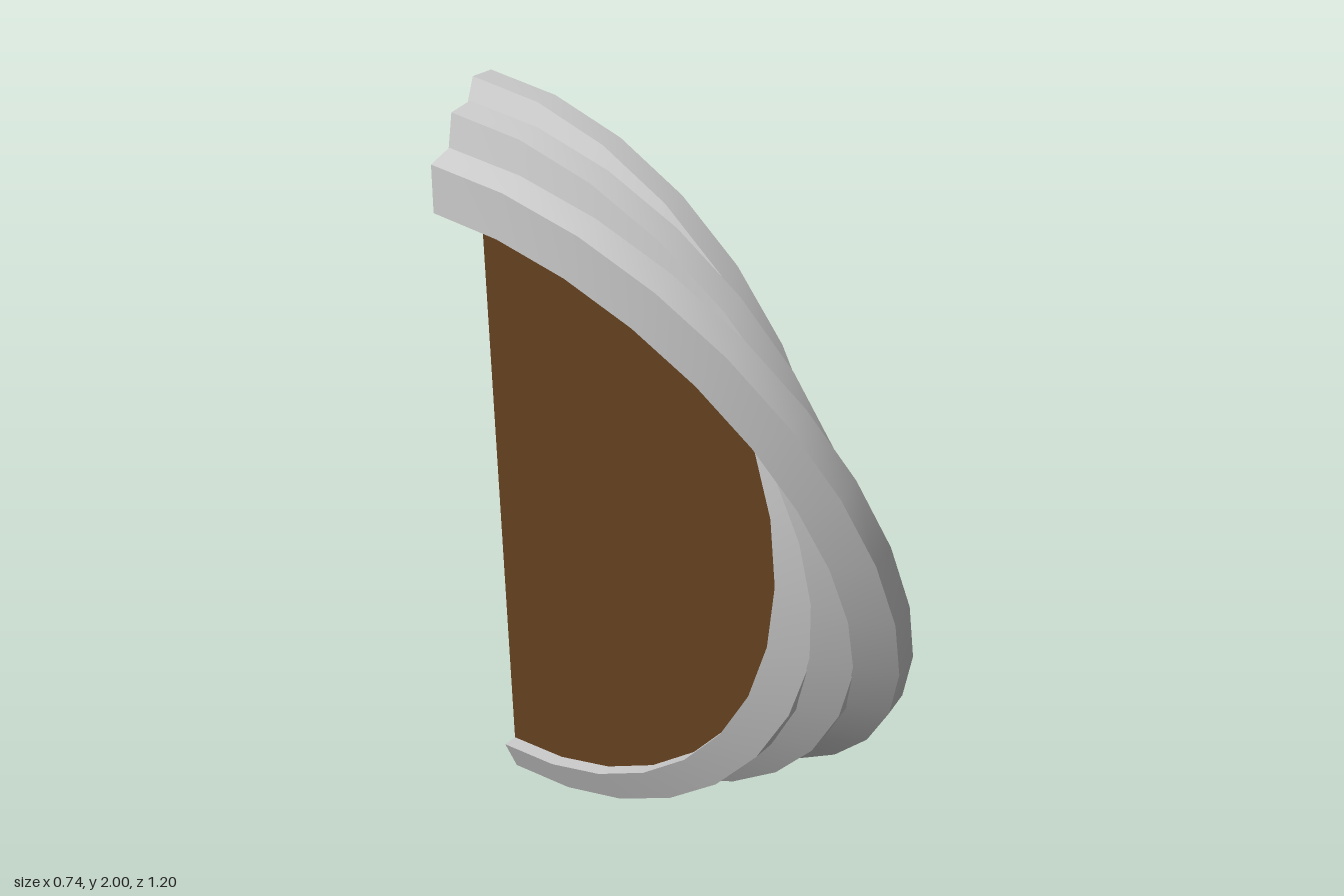
import * as THREE from 'three';
import { toCreasedNormals } from 'three/addons/utils/BufferGeometryUtils.js';

const STEPS = 16;
// Band section as [x, radius]: flat on the left side, bevelled on the right
const SECTION = [[-0.04, 0.9], [0.06, 0.9], [0.06, 1], [0, 1]];

// Half ring swept from top to bottom through the front, closed at both ends
function halfRing() {
  const positions = [], index = [];
  const n = SECTION.length;
  for (let i = 0; i <= STEPS; i++) {
    const a = (Math.PI * i) / STEPS;
    for (const [x, r] of SECTION) positions.push(x, r * Math.cos(a), r * Math.sin(a));
  }
  for (let i = 0; i < STEPS; i++) {
    for (let j = 0; j < n; j++) {
      const k = (j + 1) % n;
      const a = i * n + j, b = i * n + k, c = b + n, d = a + n;
      index.push(a, b, c, a, c, d);
    }
  }
  const e = STEPS * n;
  index.push(0, 2, 1, 0, 3, 2, e, e + 1, e + 2, e, e + 2, e + 3);
  const geometry = new THREE.BufferGeometry();
  geometry.setAttribute('position', new THREE.Float32BufferAttribute(positions, 3));
  geometry.setIndex(index);
  return toCreasedNormals(geometry, 0.5);
}

export function createModel() {
  const model = new THREE.Group();
  model.name = 'fannedArches';
  const grey = new THREE.MeshStandardMaterial({ color: 0xcccccc });
  const brown = new THREE.MeshStandardMaterial({ color: 0x654321, side: THREE.DoubleSide });

  // Three arches, each stepped forward and tilted further than the last
  const ring = halfRing();
  ['innerArch', 'middleArch', 'outerArch'].forEach((name, i) => {
    const arch = new THREE.Mesh(ring, grey);
    arch.name = name;
    arch.position.set(-0.027, 1, -0.6 + i * 0.1);
    arch.rotation.z = THREE.MathUtils.degToRad(10 * i);
    model.add(arch);
  });

  // Thin half disc filling the upright arch
  const disc = new THREE.CircleGeometry(0.9, STEPS, -Math.PI / 2, Math.PI);
  disc.rotateY(-Math.PI / 2);
  const panel = new THREE.Mesh(disc, brown);
  panel.name = 'halfDiscPanel';
  panel.position.set(-0.027, 1, -0.6);
  model.add(panel);

  return model;
}
